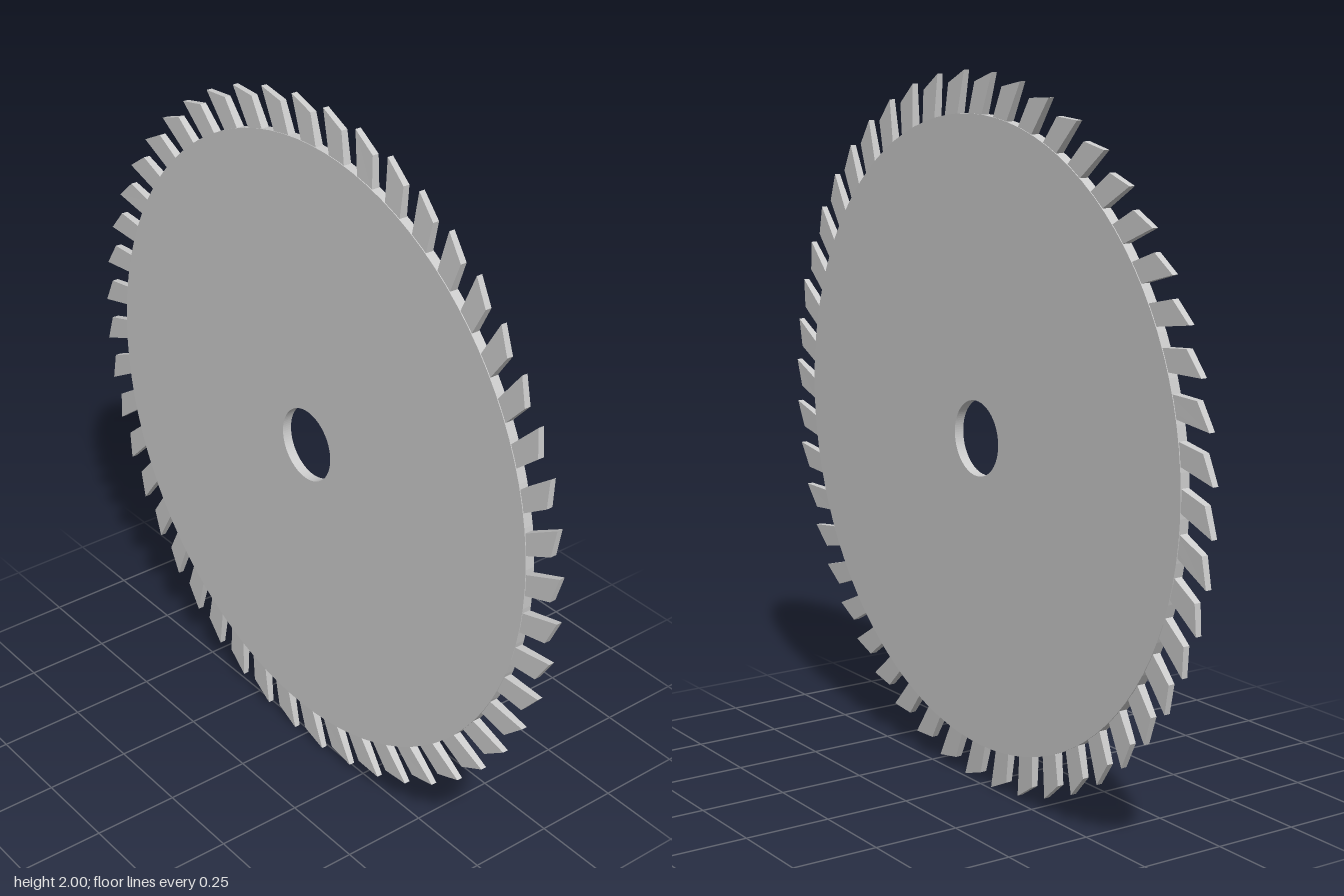
import * as THREE from 'three';

const TEETH = 48;
const DISC_RADIUS = 0.885;
const DISC_THICKNESS = 0.028;
const STEP = (Math.PI * 2) / TEETH;

// point at radius r, given degrees counter-clockwise from +x
function polar(r, degrees) {
  const a = THREE.MathUtils.degToRad(degrees);
  return new THREE.Vector2(r * Math.cos(a), r * Math.sin(a));
}

// flat plate centred on z = 0
function plate(shape, thickness, curveSegments) {
  const geometry = new THREE.ExtrudeGeometry(shape, { depth: thickness, bevelEnabled: false, curveSegments });
  geometry.translate(0, 0, -thickness / 2);
  return geometry;
}

// raked tooth, a little thinner than the disc and narrowing to its tip
function toothGeometry() {
  const shape = new THREE.Shape([
    polar(1.0, 87.6), // sharp tip
    polar(0.875, 85.1), // front root
    polar(0.86, 83.5), // buried in the disc
    polar(0.875, 81.1), // back root
    polar(0.97, 83.0), // heel
  ].reverse());
  const geometry = plate(shape, 1, 1);
  const p = geometry.attributes.position;
  for (let i = 0; i < p.count; i++) {
    const r = Math.hypot(p.getX(i), p.getY(i));
    const thickness = THREE.MathUtils.mapLinear(r, 0.86, 1, 0.025, 0.017);
    p.setZ(i, p.getZ(i) * thickness);
  }
  geometry.computeVertexNormals();
  return geometry;
}

export function createModel() {
  const material = new THREE.MeshStandardMaterial({ color: 0xcccccc });
  const blade = new THREE.Group();
  blade.name = 'sawBlade';

  // disc with the arbor hole
  const outline = new THREE.Shape().absarc(0, 0, DISC_RADIUS, 0, Math.PI * 2, false);
  outline.holes.push(new THREE.Path().absarc(0, 0, 0.106, 0, Math.PI * 2, true));
  const disc = new THREE.Mesh(plate(outline, DISC_THICKNESS, 48), material);
  disc.name = 'disc';
  blade.add(disc);

  // ring of teeth
  const teeth = new THREE.Group();
  teeth.name = 'teeth';
  const geometry = toothGeometry();
  for (let i = 0; i < TEETH; i++) {
    const tooth = new THREE.Mesh(geometry, material);
    tooth.name = 'tooth';
    tooth.rotation.z = i * STEP;
    teeth.add(tooth);
  }
  blade.add(teeth);

  // the blade leans very slightly back
  blade.rotation.x = -0.0165;
  blade.position.y = 1;

  const model = new THREE.Group();
  model.name = 'circularSawBlade';
  model.add(blade);
  return model;
}
